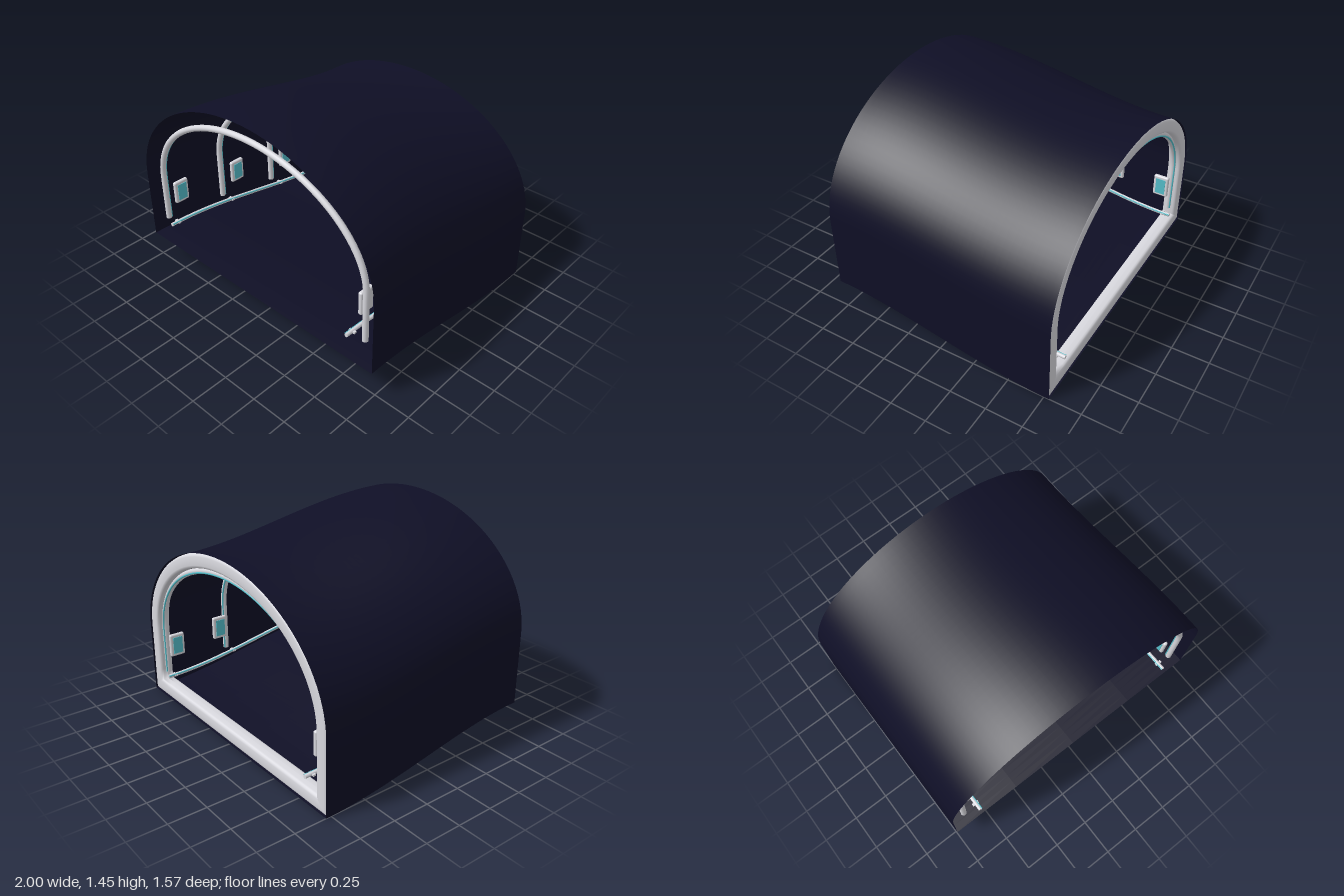
import * as THREE from 'three';
import { RoundedBoxGeometry } from 'three/addons/geometries/RoundedBoxGeometry.js';

const DEPTH = 0.785, SPRING = 0.5, RISE = 0.745;

const shellColour = new THREE.MeshStandardMaterial({ color: 0x0f0f26, side: THREE.DoubleSide });
const frameColour = new THREE.MeshStandardMaterial({ color: 0xd8d8de, side: THREE.DoubleSide });
const glowColour = new THREE.MeshStandardMaterial({ color: 0x56c0cc });

// Height of the floor: a smooth ramp rising to the front
function floorY(z) {
  return 0.2 * THREE.MathUtils.smoothstep(z, -DEPTH, DEPTH);
}

// Wall and arch line from right foot to left foot
function archLine(halfWidth, foot, rise, steps = 48) {
  const pts = [];
  for (let i = 0; i < 5; i++) pts.push([-halfWidth, foot + (SPRING - foot) * i / 5]);
  for (let i = 0; i <= steps; i++) {
    const a = Math.PI * (1 - i / steps);
    pts.push([halfWidth * Math.cos(a), SPRING + rise * Math.sin(a)]);
  }
  for (let i = 4; i >= 0; i--) pts.push([halfWidth, foot + (SPRING - foot) * i / 5]);
  return pts;
}

// Smooth surface through rows of [x, y, z] points
function surface(rows) {
  const n = rows[0].length, index = [];
  for (let r = 0; r < rows.length - 1; r++) {
    for (let c = 0; c < n - 1; c++) {
      const a = r * n + c, b = a + n;
      index.push(a, b, a + 1, b, b + 1, a + 1);
    }
  }
  const g = new THREE.BufferGeometry();
  g.setAttribute('position', new THREE.Float32BufferAttribute(rows.flat(2), 3));
  g.setIndex(index);
  g.computeVertexNormals();
  return g;
}

function add(parent, name, geometry, material, x = 0, y = 0, z = 0) {
  const m = new THREE.Mesh(geometry, material);
  m.name = name;
  m.position.set(x, y, z);
  parent.add(m);
  return m;
}

function tube(points, radius, segments, sides = 12) {
  const curve = new THREE.CatmullRomCurve3(points.map(p => new THREE.Vector3(...p)));
  return new THREE.TubeGeometry(curve, segments, radius, sides);
}

// Sweep a flat line along the ramp
function sweep(line) {
  const rows = [];
  for (let i = 0; i <= 32; i++) {
    const z = -DEPTH + 2 * DEPTH * i / 32;
    rows.push(line.map(([x, y]) => [x, y + floorY(z), z]));
  }
  return surface(rows);
}

// Rounded frame closing the back edge
function rimGeometry() {
  const rows = [], half = 0.05, sides = 20;
  const soft = v => Math.sign(v) * Math.sqrt(Math.abs(v));
  for (let j = 0; j <= sides; j++) {
    const a = 2 * Math.PI * j / sides;
    const inset = half + 0.002 + half * soft(Math.cos(a));
    const z = -DEPTH + half + 0.001 + half * soft(Math.sin(a));
    const line = archLine(1 - inset, inset, RISE - inset);
    line.push([0.8, inset], [0, inset], [-0.8, inset], line[0]);
    rows.push(line.map(([x, y]) => [x, y + floorY(z), z]));
  }
  return surface(rows);
}

export function createModel() {
  const model = new THREE.Group();
  model.name = 'tunnelSection';

  // Shell
  add(model, 'archedShell', sweep(archLine(1, 0, RISE)), shellColour);
  add(model, 'floor', sweep([[-1, 0], [-0.5, 0], [0, 0], [0.5, 0], [1, 0]]), shellColour);
  add(model, 'backRim', rimGeometry(), frameColour);

  // Arched ribs with a thin light strip
  for (const z of [0.727, 0.242, -0.242, -0.727]) {
    const rib = new THREE.Group();
    rib.name = 'rib';
    rib.position.set(0, floorY(z), z);
    model.add(rib);
    const line = archLine(0.897, 0.155, 0.617);
    add(rib, 'ribTube', tube(line.map(([x, y]) => [x, y, 0]), 0.02, 90), frameColour);
    const strip = archLine(0.887, 0.16, 0.607);
    add(rib, 'ribLightStrip', tube(strip.map(([x, y]) => [x, y, -0.016]), 0.006, 90, 6), glowColour);
    for (const s of [-1, 1]) {
      const cap = add(rib, 'ribFootCap', new THREE.CircleGeometry(0.02, 12), frameColour, s * 0.897, 0.155, 0);
      cap.rotation.x = Math.PI / 2;
    }
  }

  for (const s of [-1, 1]) {
    // Handrail following the ramp
    const path = (x, dy) => Array.from({ length: 17 }, (_, i) => {
      const z = -DEPTH + 0.005 + (2 * DEPTH - 0.01) * i / 16;
      return [x, floorY(z) + dy, z];
    });
    add(model, 'handrail', tube(path(s * 0.797, 0.165), 0.013, 40), frameColour);
    add(model, 'handrailLightStrip', tube(path(s * 0.787, 0.171), 0.005, 40, 6), glowColour);
    for (const z of [-DEPTH + 0.005, DEPTH - 0.005]) {
      add(model, 'handrailCap', new THREE.CircleGeometry(0.013, 12), frameColour, s * 0.797, floorY(z) + 0.165, z);
    }
    // Rail brackets
    for (const z of [0.727, 0.242, -0.242, -0.727]) {
      add(model, 'railBracket', new THREE.BoxGeometry(0.045, 0.012, 0.02), frameColour,
        s * 0.8, floorY(z) + 0.165, z);
    }
    // Wall panels with screens
    for (const z of [0.65, 0.15, -0.33, -0.68]) {
      const y = floorY(z) + 0.375;
      add(model, 'wallPanel', new RoundedBoxGeometry(0.03, 0.165, 0.11, 3, 0.012), frameColour, s * 0.83, y, z);
      add(model, 'panelScreen', new THREE.BoxGeometry(0.006, 0.12, 0.07), glowColour, s * 0.814, y, z);
    }
  }
  return model;
}
